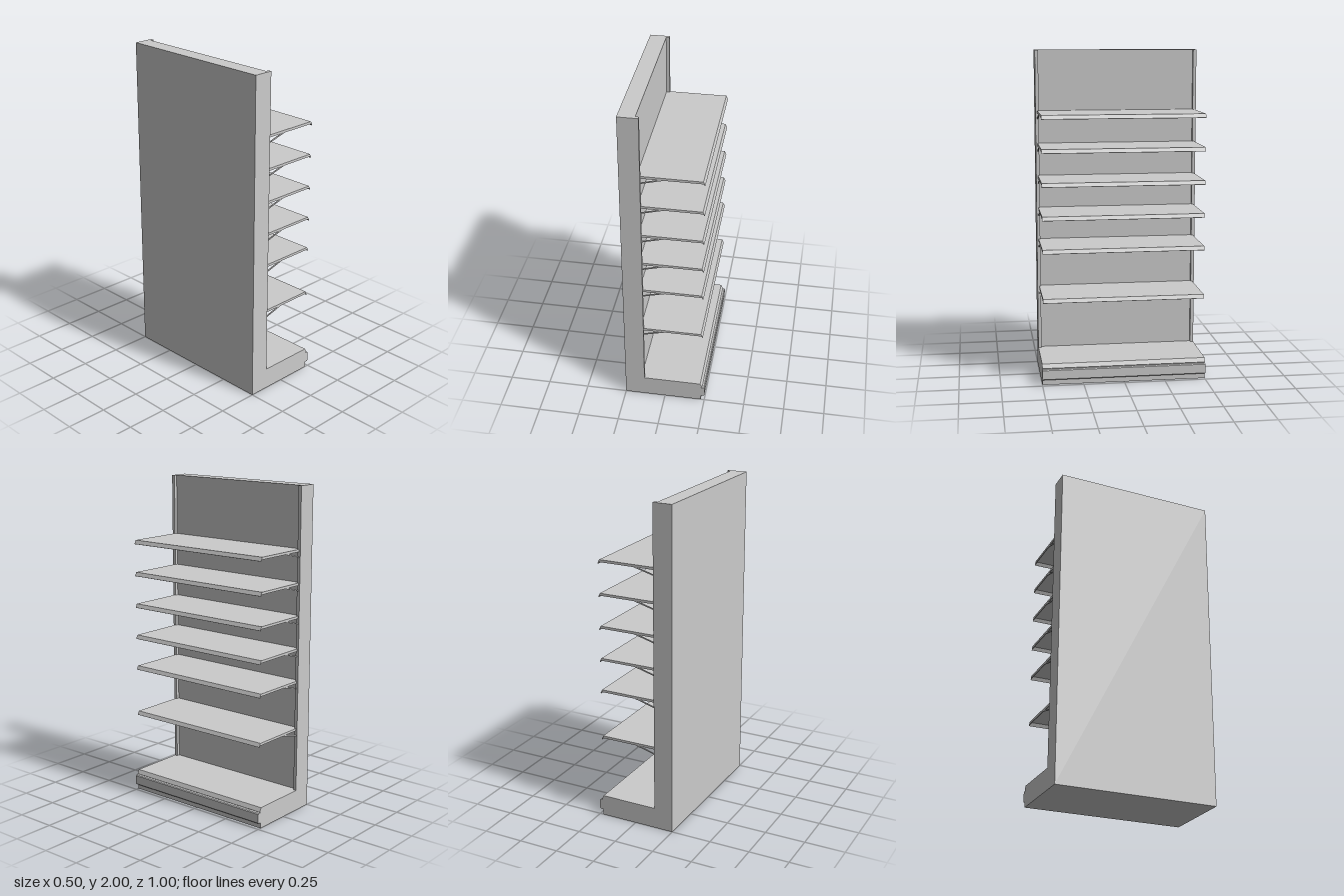
import * as THREE from 'three';

const material = new THREE.MeshStandardMaterial({ color: 0xcccccc, flatShading: true });

// Extrude an x/y profile along z, between z0 and z1.
function profile(name, points, z0, z1) {
  const shape = new THREE.Shape(points.map(([x, y]) => new THREE.Vector2(x, y)));
  const geometry = new THREE.ExtrudeGeometry(shape, { depth: z1 - z0, bevelEnabled: false });
  geometry.translate(0, 0, z0);
  const mesh = new THREE.Mesh(geometry, material);
  mesh.name = name;
  return mesh;
}

function slab(name, x0, x1, y0, y1, z0, z1) {
  return profile(name, [[x0, y0], [x1, y0], [x1, y1], [x0, y1]], z0, z1);
}

// Folded sheet shelf, with its top surface at y = 0.
function createShelf() {
  const shelf = new THREE.Group();
  shelf.name = 'shelf';
  shelf.add(
    // top sheet with slanted front lip
    profile('shelfTop', [
      [-0.13, 0], [0.222, 0], [0.233, -0.023], [0.229, -0.025],
      [0.219, -0.004], [-0.13, -0.004],
    ], -0.49, 0.49),
    // rear tongue reaching the panel between the posts
    slab('shelfTongue', -0.15, -0.13, -0.004, 0, -0.48, 0.48),
    slab('shelfRearFlange', -0.15, -0.147, -0.015, -0.004, -0.48, 0.48),
  );
  for (const side of [-1, 1]) {
    const outer = side * 0.49, inner = side * 0.485;
    const z0 = Math.min(outer, inner), z1 = Math.max(outer, inner);
    shelf.add(profile('shelfSideFlange',
      [[-0.13, -0.015], [0.224, -0.015], [0.219, -0.004], [-0.13, -0.004]], z0, z1));
    // slanted support strut under the shelf
    shelf.add(profile('bracket', [
      [-0.13, -0.05], [-0.105, -0.043], [0, -0.015], [-0.03, -0.015], [-0.13, -0.043],
    ], side * 0.488 - 0.003, side * 0.488 + 0.003));
  }
  return shelf;
}

export function createModel() {
  const model = new THREE.Group();
  model.name = 'shelvingUnit';

  // Back wall and the two uprights in front of it
  model.add(slab('backPanel', -0.25, -0.15, 0, 2, -0.5, 0.5));
  model.add(slab('leftUpright', -0.15, -0.13, 0, 2, 0.48, 0.5));
  model.add(slab('rightUpright', -0.15, -0.13, 0, 2, -0.5, -0.48));

  // Plinth: base deck with bevelled front edge and bumper rail
  model.add(profile('base', [
    [-0.15, 0], [0.228, 0], [0.228, 0.1], [0.235, 0.105], [0.223, 0.13], [-0.15, 0.13],
  ], -0.5, 0.5));
  model.add(profile('bumperRail', [
    [0.228, 0.035], [0.245, 0.035], [0.25, 0.04], [0.25, 0.095], [0.245, 0.1], [0.228, 0.1],
  ], -0.5, 0.5));

  for (const y of [0.53, 0.83, 1.03, 1.23, 1.43, 1.63]) {
    const shelf = createShelf();
    shelf.position.y = y;
    model.add(shelf);
  }
  return model;
}
